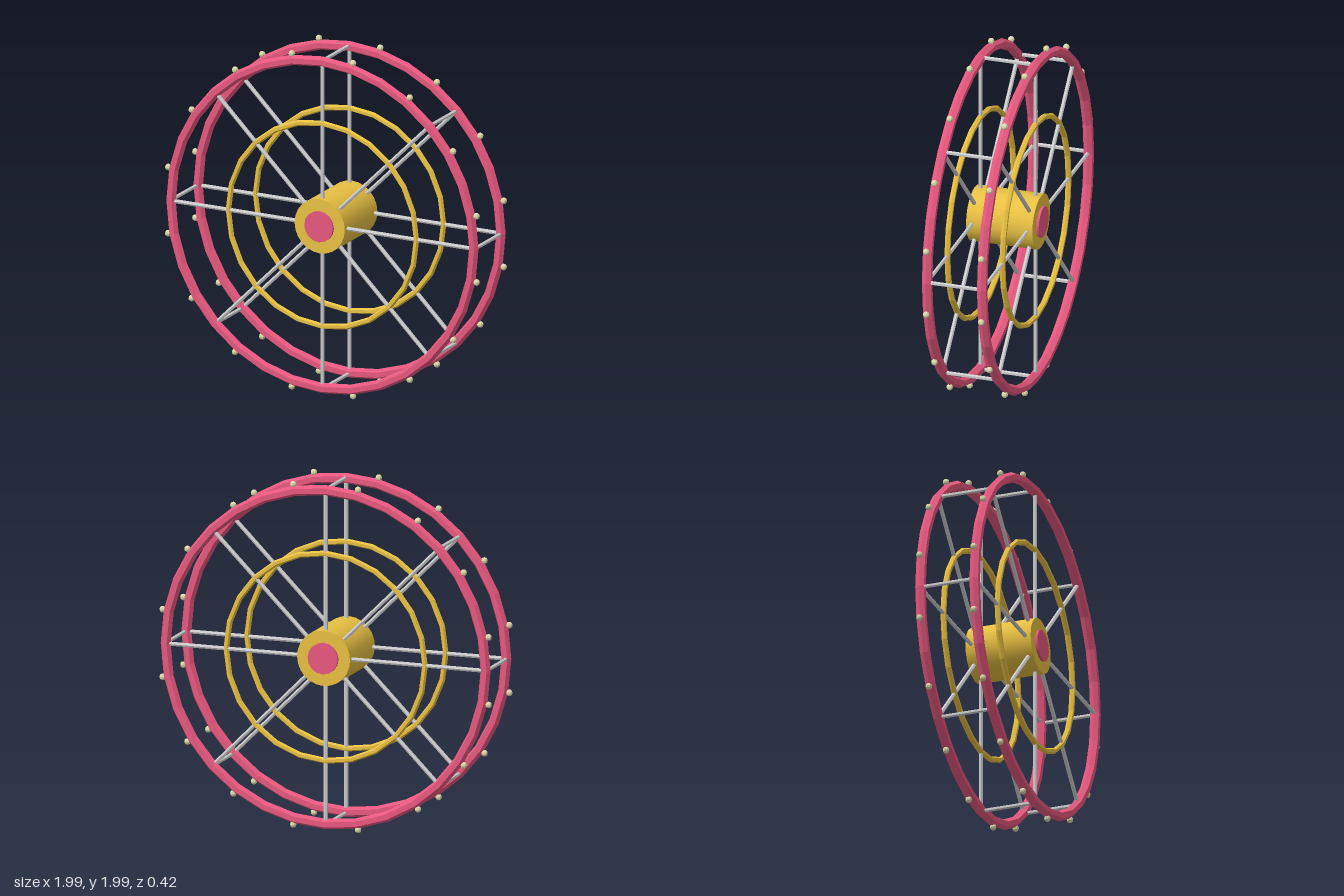
import * as THREE from 'three';

const CENTRE_Y = 1;
const SIDE_Z = 0.162;
const SPOKES = 8;
const BULBS = 16;

function material(name, color) {
  const m = new THREE.MeshStandardMaterial({ color });
  m.name = name;
  return m;
}

// Faceted copy of a geometry: every face keeps its own normal
function faceted(geometry) {
  const g = geometry.toNonIndexed();
  g.computeVertexNormals();
  return g;
}

// Cylinder lying along z
function drum(radius, length, sides) {
  return new THREE.CylinderGeometry(radius, radius, length, sides).rotateX(Math.PI / 2);
}

function add(parent, name, geometry, mat, x = 0, y = 0, z = 0) {
  const mesh = new THREE.Mesh(geometry, mat);
  mesh.name = name;
  mesh.position.set(x, y, z);
  parent.add(mesh);
  return mesh;
}

export function createModel() {
  const pink = material('pink', 0xe8587f);
  const gold = material('gold', 0xe9c142);
  const steel = material('steel', 0xcccccc);
  const cream = material('cream', 0xdcd8aa);

  const wheel = new THREE.Group();
  wheel.name = 'wheel';
  wheel.position.y = CENTRE_Y;

  const rimGeo = faceted(new THREE.TorusGeometry(0.958, 0.03, 6, 32));
  const innerGeo = faceted(new THREE.TorusGeometry(0.595, 0.017, 6, 24));
  const spokeGeo = faceted(new THREE.CylinderGeometry(0.012, 0.012, 0.85, 6));
  const barGeo = faceted(drum(0.012, SIDE_Z * 2, 6));
  const bulbGeo = faceted(new THREE.SphereGeometry(0.019, 8, 6));
  const capGeo = drum(0.09, 0.03, 16);

  // Hub drum
  add(wheel, 'hub', drum(0.159, 0.39, 24), gold);

  // Two matching sides
  for (const s of [1, -1]) {
    const side = new THREE.Group();
    side.name = s > 0 ? 'frontSide' : 'backSide';
    side.position.z = s * SIDE_Z;
    wheel.add(side);

    add(side, 'rim', rimGeo, pink);
    add(side, 'innerRing', innerGeo, gold);
    add(side, 'hubCap', capGeo, pink, 0, 0, s * (0.195 - SIDE_Z));

    for (let i = 0; i < SPOKES; i++) {
      const a = (i / SPOKES) * Math.PI * 2;
      const r = 0.53;
      const spoke = add(side, 'spoke', spokeGeo, steel, Math.cos(a) * r, Math.sin(a) * r);
      spoke.rotation.z = a - Math.PI / 2;
    }
    for (let i = 0; i < BULBS; i++) {
      const a = ((i + 0.5) / BULBS) * Math.PI * 2;
      const r = 0.995;
      add(side, 'bulb', bulbGeo, cream, Math.cos(a) * r, Math.sin(a) * r);
    }
  }

  // Cross bars joining the rims
  for (let i = 0; i < SPOKES; i++) {
    const a = (i / SPOKES) * Math.PI * 2;
    add(wheel, 'crossBar', barGeo, steel, Math.cos(a) * 0.962, Math.sin(a) * 0.962);
  }

  const model = new THREE.Group();
  model.name = 'spokedWheel';
  model.add(wheel);
  return model;
}
